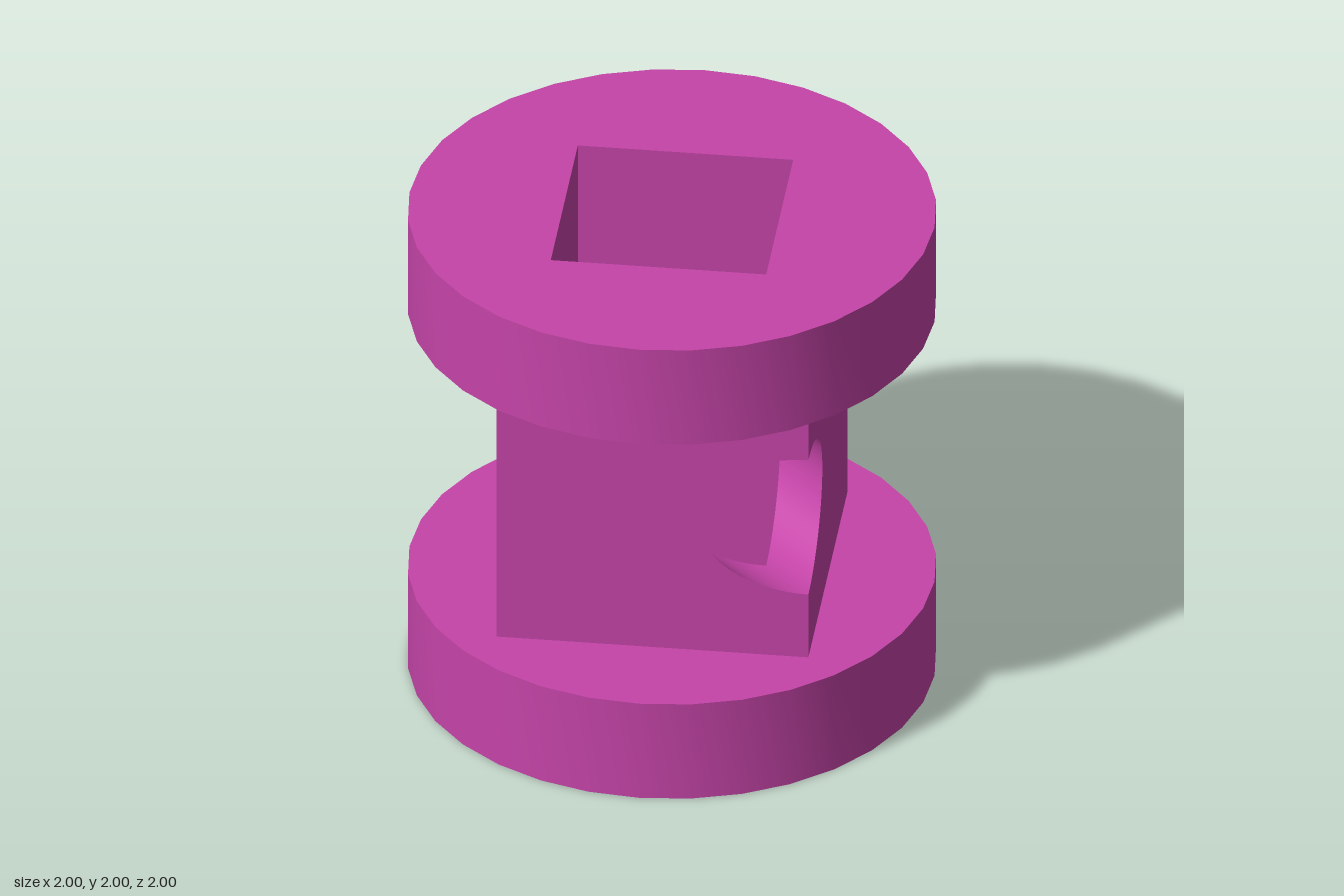
import * as THREE from 'three';
import { toCreasedNormals } from 'three/addons/utils/BufferGeometryUtils.js';

const DISC = 0.42;     // flange thickness
const TOP = 2 - DISC;  // upper end of the square core
const OUTER = 0.84;    // centre-to-corner of the core, outside
const INNER = 0.58;    // centre-to-corner of the square shaft
const BORE = 0.3;      // radius of the side hole

const diamond = (r) => [[r, 0], [0, r], [-r, 0], [0, -r]].map(([x, y]) => new THREE.Vector2(x, y));

// Round flange with a square hole through it
function flangeGeometry() {
  const shape = new THREE.Shape().absarc(0, 0, 1, 0, Math.PI * 2, false);
  shape.holes.push(new THREE.Path(diamond(INNER).reverse()));
  const geo = new THREE.ExtrudeGeometry(shape, { depth: DISC, bevelEnabled: false, curveSegments: 16 });
  return toCreasedNormals(geo.rotateX(-Math.PI / 2), 0.5);
}

// One flat side of the core; those meeting at the +x corner are notched by the bore
function wallGeometry(r, sx, sz, outside) {
  const shape = new THREE.Shape();
  shape.moveTo(0, DISC).lineTo(r, DISC).lineTo(r, TOP).lineTo(0, TOP);
  if (sx > 0) {
    shape.lineTo(0, 1 + BORE);
    shape.absarc(0, 1, BORE, Math.PI / 2, -Math.PI / 2, true);
  }
  const geo = new THREE.ShapeGeometry(shape, 12);
  geo.applyMatrix4(new THREE.Matrix4().set(
    -sx, 0, sx, sx * r,
    0, 1, 0, 0,
    sz, 0, sz, 0,
    0, 0, 0, 1));
  if ((sx * sz > 0) === outside) geo.index.array.reverse();
  geo.computeVertexNormals();
  return geo;
}

// Inward-facing round wall of the side hole, cut off along both core surfaces
function boreGeometry() {
  const geo = new THREE.CylinderGeometry(BORE, BORE, 1, 48, 1, true);
  geo.rotateZ(-Math.PI / 2).scale(1, 1, -1);
  const p = geo.attributes.position;
  const n = geo.attributes.normal;
  for (let i = 0; i < p.count; i++) {
    p.setX(i, (p.getX(i) > 0 ? OUTER : INNER) - Math.abs(p.getZ(i)));
    n.setXYZ(i, -n.getX(i), -n.getY(i), -n.getZ(i));
  }
  return geo.translate(0, 1, 0);
}

export function createModel() {
  const material = new THREE.MeshStandardMaterial({ color: 0xc544a8 });
  const model = new THREE.Group();
  model.name = 'squareCoreSpool';
  const add = (parent, name, geometry) => {
    const mesh = new THREE.Mesh(geometry, material);
    mesh.name = name;
    parent.add(mesh);
    return mesh;
  };

  // Flanges
  const flange = flangeGeometry();
  add(model, 'bottomFlange', flange);
  add(model, 'topFlange', flange).position.y = TOP;

  // Hollow square core, turned corner-forward
  const core = new THREE.Group();
  core.name = 'core';
  model.add(core);
  for (const sx of [1, -1]) {
    for (const sz of [1, -1]) {
      const place = (sz > 0 ? 'Front' : 'Back') + (sx > 0 ? 'Left' : 'Right');
      add(core, 'outerWall' + place, wallGeometry(OUTER, sx, sz, true));
      add(core, 'shaftWall' + place, wallGeometry(INNER, sx, sz, false));
    }
  }
  add(core, 'sideBore', boreGeometry());

  return model;
}
